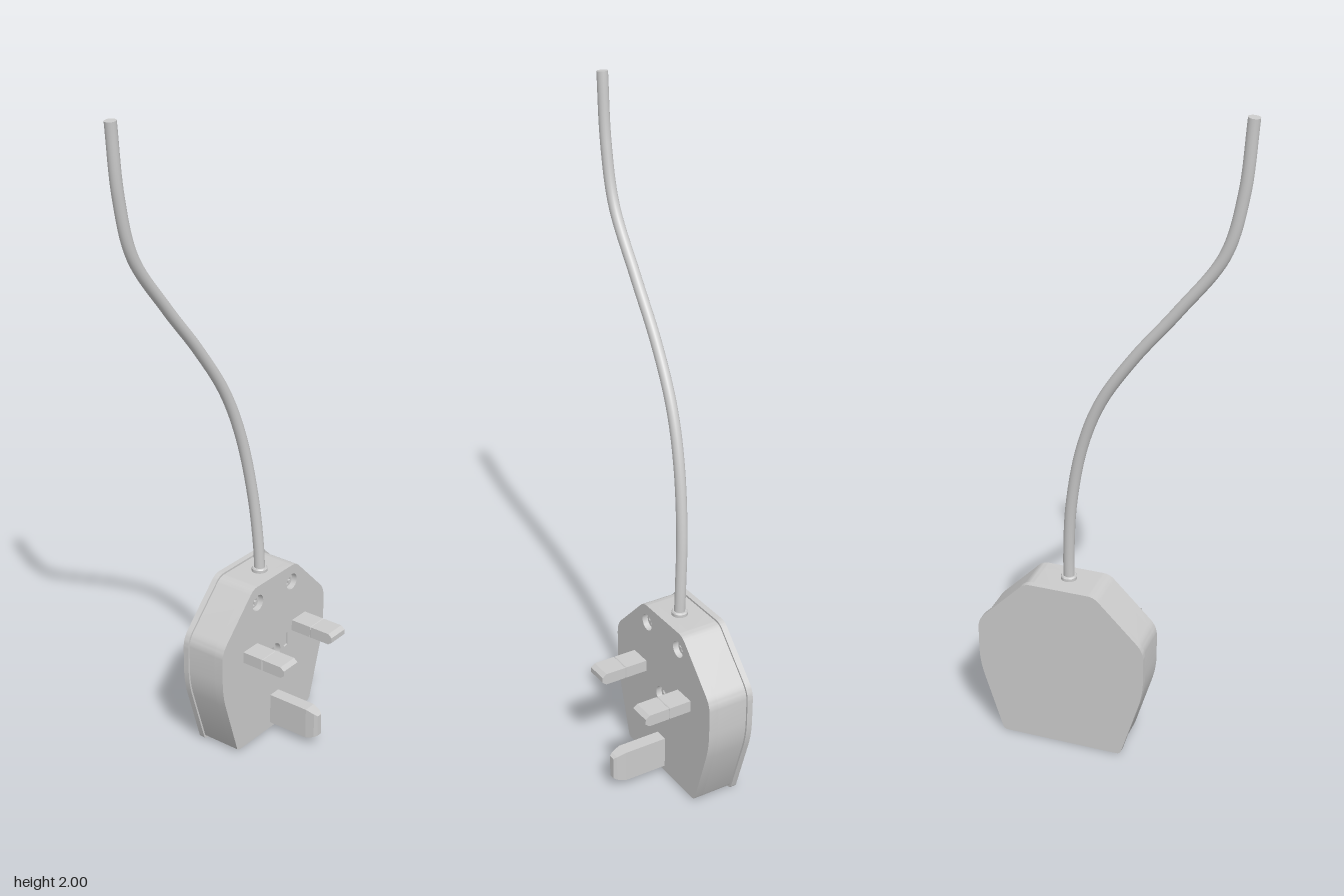
import * as THREE from 'three';
import { toCreasedNormals } from 'three/addons/utils/BufferGeometryUtils.js';

const CX = 0.14; // centre line of the plug
const FRONT = -0.016;
const mat = new THREE.MeshStandardMaterial({ color: 0xcccccc });

function add(parent, name, geometry, x = 0, y = 0, z = 0) {
  const mesh = new THREE.Mesh(geometry, mat);
  mesh.name = name;
  mesh.position.set(x, y, z);
  parent.add(mesh);
  return mesh;
}

// Eight-sided plug outline with softened corners, shrunk by inset
function plugOutline(inset = 0) {
  const half = [[0.188, 0], [0.26, 0.235], [0.26, 0.385], [0.108, 0.54]];
  const pts = [...half, ...half.map(([x, y]) => [-x, y]).reverse()].map(([x, y]) =>
    new THREE.Vector2(x * (1 - inset / 0.26), 0.27 + (y - 0.27) * (1 - inset / 0.27)));
  const radii = [0.012, 0.05, 0.03, 0.02, 0.02, 0.03, 0.05, 0.012];
  const shape = new THREE.Shape();
  pts.forEach((p, i) => {
    const toward = (q) => p.clone().add(q.clone().sub(p).setLength(radii[i]));
    const a = toward(pts[(i + 7) % 8]);
    const b = toward(pts[(i + 1) % 8]);
    if (i === 0) shape.moveTo(a.x, a.y);
    else shape.lineTo(a.x, a.y);
    shape.quadraticCurveTo(p.x, p.y, b.x, b.y);
  });
  shape.closePath();
  return shape;
}

function extrude(shape, depth) {
  const g = new THREE.ExtrudeGeometry(shape, { depth, bevelEnabled: false, curveSegments: 8 });
  return toCreasedNormals(g, 0.5);
}

// Rectangular bar along z through sections [z, width, height]
function bar(sections) {
  const n = sections.length - 1;
  const g = new THREE.BoxGeometry(1, 1, 1, 1, 1, n);
  const p = g.attributes.position;
  for (let i = 0; i < p.count; i++) {
    const [z, w, h] = sections[Math.round((p.getZ(i) + 0.5) * n)];
    p.setXYZ(i, p.getX(i) * w, p.getY(i) * h, z);
  }
  const flat = g.toNonIndexed();
  flat.computeVertexNormals();
  return flat;
}

// Screw head with a cross-shaped slot
function screwHead(r) {
  const shape = new THREE.Shape().absarc(0, 0, r, 0, Math.PI * 2);
  const a = r * 0.65, b = r * 0.2;
  const cross = [[a, b], [b, b], [b, a], [-b, a], [-b, b], [-a, b],
    [-a, -b], [-b, -b], [-b, -a], [b, -a], [b, -b], [a, -b]];
  shape.holes.push(new THREE.Path(cross.map(([x, y]) => new THREE.Vector2(x, y))));
  return extrude(shape, 0.014);
}

export function createModel() {
  const model = new THREE.Group();
  model.name = 'mainsPlug';
  const plug = new THREE.Group();
  plug.name = 'plug';
  plug.position.x = CX;
  model.add(plug);

  // Back cover and casing
  add(plug, 'backCover', extrude(plugOutline(), 0.018), 0, 0, -0.16);
  add(plug, 'casing', extrude(plugOutline(0.006), 0.096), 0, 0, -0.142);

  // Front face, pierced by the screw recesses and a small pointer mark
  const screws = [[-0.084, 0.478, 0.026], [0.084, 0.478, 0.026], [0, 0.267, 0.03]];
  const face = plugOutline(0.006);
  for (const [x, y, r] of screws) {
    face.holes.push(new THREE.Path().absarc(x, y, r, 0, Math.PI * 2, true));
  }
  const pointer = [[0.036, 0.28], [0.06, 0.31], [0.066, 0.31], [0.066, 0.266], [0.05, 0.263]];
  face.holes.push(new THREE.Path(pointer.map(([x, y]) => new THREE.Vector2(x, y))));
  add(plug, 'frontFace', extrude(face, 0.03), 0, 0, FRONT - 0.03);
  add(plug, 'pointerFloor', new THREE.BoxGeometry(0.034, 0.052, 0.022), 0.051, 0.286, FRONT - 0.017);
  for (const [x, y, r] of screws) {
    add(plug, 'screw', screwHead(r * 0.88), x, y, FRONT - 0.03);
  }

  // Live and neutral pins: sleeve, fine groove, chamfered tip
  for (const side of [-1, 1]) {
    const w = 0.068, h = 0.036;
    add(plug, side < 0 ? 'rightPin' : 'leftPin', bar([
      [FRONT - 0.01, w, h], [0.053, w, h], [0.055, w - 0.004, h - 0.004],
      [0.057, w, h], [0.122, w, h], [0.135, w, h * 0.45],
    ]), side * 0.121, 0.323, 0);
  }

  // Earth pin with a tapered nose
  add(plug, 'earthPin', bar([
    [FRONT - 0.01, 0.041, 0.1], [0.12, 0.041, 0.1],
    [0.147, 0.03, 0.082], [0.157, 0.018, 0.07],
  ]), 0, 0.074, 0);

  // Collar where the cable enters
  const collar = [[0.017, -0.01], [0.024, -0.01], [0.024, 0.008], [0.021, 0.012], [0.017, 0.012]];
  const ring = new THREE.LatheGeometry(collar.map(([x, y]) => new THREE.Vector2(x, y)), 24);
  add(plug, 'cableCollar', toCreasedNormals(ring, 0.5), 0, 0.535, -0.075);

  // Cable
  const path = new THREE.CatmullRomCurve3([
    [0.14, 0.52, -0.074], [0.138, 0.62, -0.078], [0.124, 0.79, -0.089], [0.084, 0.99, -0.102],
    [0.024, 1.145, -0.113], [-0.077, 1.3, -0.124], [-0.2, 1.455, -0.131],
    [-0.325, 1.63, -0.135], [-0.37, 1.8, -0.136], [-0.389, 1.999, -0.137],
  ].map((p) => new THREE.Vector3(...p)));
  add(model, 'cable', new THREE.TubeGeometry(path, 80, 0.0165, 16));
  const end = add(model, 'cableEnd', new THREE.CircleGeometry(0.0165, 16));
  end.position.copy(path.getPoint(1));
  end.lookAt(end.position.clone().add(path.getTangent(1)));
  return model;
}
